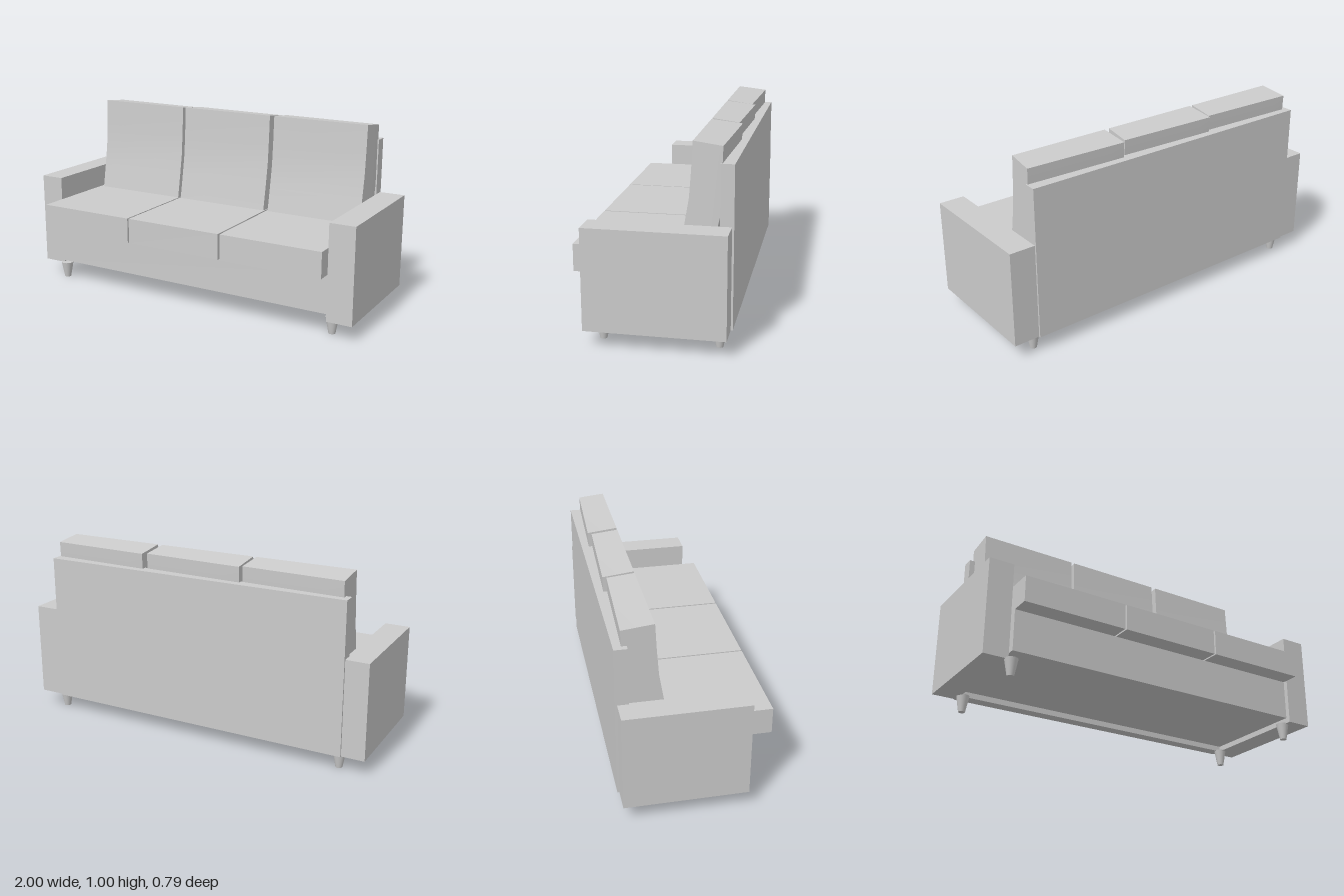
import * as THREE from 'three';
import { toCreasedNormals } from 'three/addons/utils/BufferGeometryUtils.js';

const material = new THREE.MeshStandardMaterial({ color: 0xcccccc });

// Box given by its lower and upper limits on each axis
function block(name, [x0, x1], [y0, y1], [z0, z1]) {
  const mesh = new THREE.Mesh(new THREE.BoxGeometry(x1 - x0, y1 - y0, z1 - z0), material);
  mesh.position.set((x0 + x1) / 2, (y0 + y1) / 2, (z0 + z1) / 2);
  mesh.name = name;
  return mesh;
}

// Back cushion: curved side profile (z, y) extruded along x, rear slightly skewed
function backCushion(x0, x1) {
  const front = [[-0.132, 0.475], [-0.155, 0.6], [-0.177, 0.73], [-0.187, 0.86], [-0.195, 1.005]];
  const rear = [[-0.339, 0.987], [-0.327, 0.65], [-0.316, 0.6], [-0.29, 0.475]];
  const shape = new THREE.Shape([...front, ...rear].map(([z, y]) => new THREE.Vector2(z, y)));
  const geometry = new THREE.ExtrudeGeometry(shape, { depth: x1 - x0, bevelEnabled: false });
  geometry.rotateY(-Math.PI / 2).translate(x1, 0, 0);

  // Push the rear left corner back and flare the rear right side a little
  const p = geometry.attributes.position;
  for (let i = 0; i < p.count; i++) {
    if (p.getZ(i) > -0.25) continue;
    if (p.getX(i) < (x0 + x1) / 2) p.setZ(i, p.getZ(i) - 0.019);
    else p.setX(i, p.getX(i) + 0.008);
  }
  const mesh = new THREE.Mesh(toCreasedNormals(geometry, 0.4), material);
  mesh.name = 'backCushion';
  return mesh;
}

export function createModel() {
  const sofa = new THREE.Group();
  sofa.name = 'sofa';

  // Frame: base, back panel and two arms of unequal depth
  sofa.add(
    block('base', [-0.865, 0.86], [0.115, 0.335], [-0.335, 0.29]),
    block('backPanel', [-0.875, 0.86], [0.085, 0.905], [-0.395, -0.328]),
    block('rightArm', [-1, -0.865], [0.085, 0.603], [-0.385, 0.25]),
    block('leftArm', [0.86, 1], [0.085, 0.603], [-0.385, 0.315]),
  );

  // Three seat cushions with narrow gaps
  for (const span of [[-0.865, -0.294], [-0.285, 0.277], [0.287, 0.86]]) {
    sofa.add(block('seatCushion', span, [0.335, 0.475], [-0.328, 0.393]));
  }

  // Three back cushions
  for (const [x0, x1] of [[-0.845, -0.298], [-0.28, 0.27], [0.297, 0.845]]) {
    sofa.add(backCushion(x0, x1));
  }

  // Four tapered legs
  const legGeometry = new THREE.CylinderGeometry(0.035, 0.018, 0.09, 24);
  for (const x of [-0.848, 0.866]) {
    for (const z of [0.245, -0.334]) {
      const leg = new THREE.Mesh(legGeometry, material);
      leg.position.set(x, 0.045, z);
      leg.name = 'leg';
      sofa.add(leg);
    }
  }
  return sofa;
}
